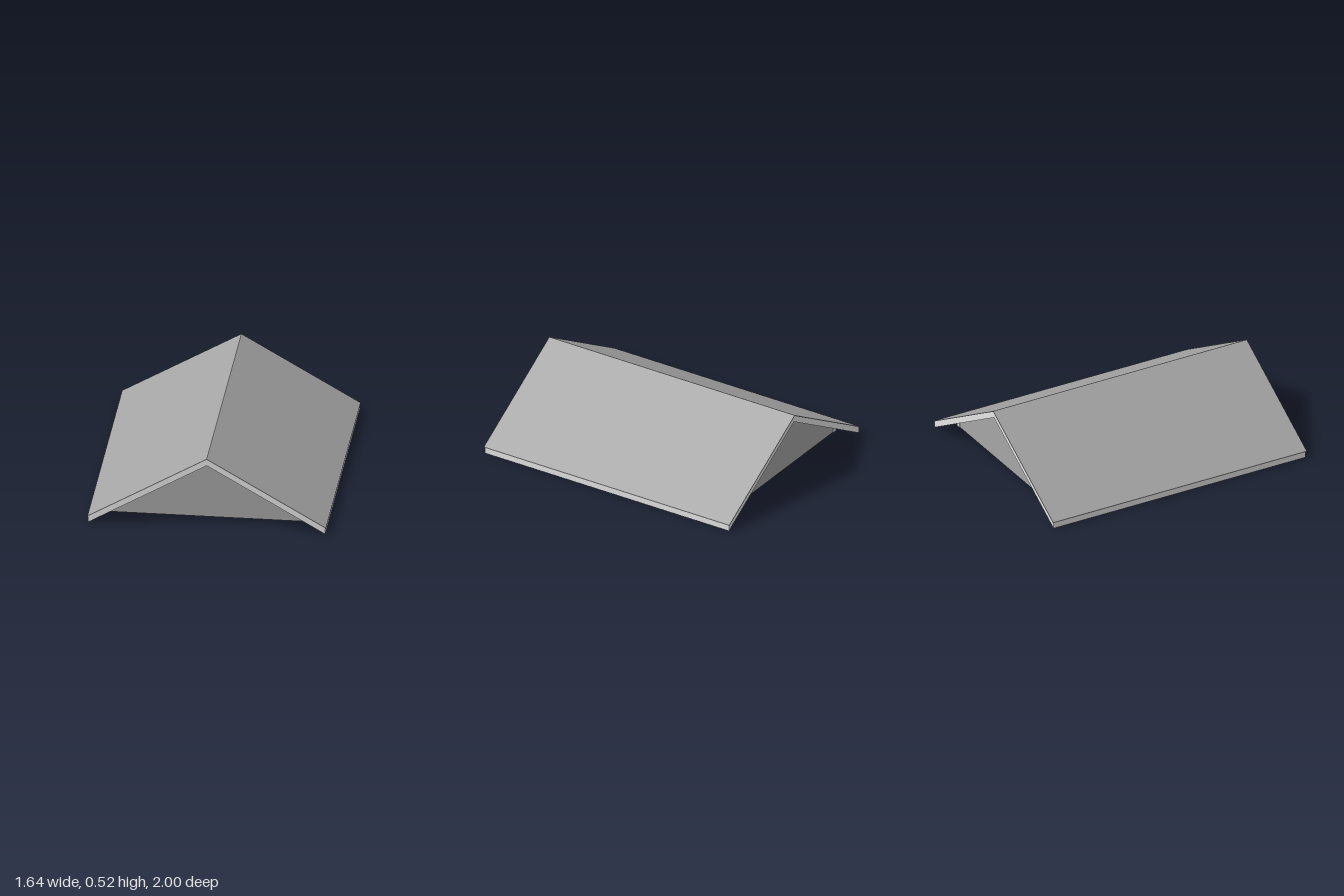
import * as THREE from 'three';

const material = (name, color) => {
  const m = new THREE.MeshStandardMaterial({ color });
  m.name = name;
  return m;
};

// Extrudes an XY outline from z0 to z1
function extrude(points, z0, z1) {
  const shape = new THREE.Shape(points.map(([x, y]) => new THREE.Vector2(x, y)));
  const geometry = new THREE.ExtrudeGeometry(shape, { depth: z1 - z0, bevelEnabled: false });
  return geometry.translate(0, 0, z0);
}

// Inverted V outline of given vertical thickness
const chevron = (halfWidth, eaveTop, ridgeTop, thickness) => [
  [-halfWidth, eaveTop - thickness], [0, ridgeTop - thickness], [halfWidth, eaveTop - thickness],
  [halfWidth, eaveTop], [0, ridgeTop], [-halfWidth, eaveTop],
];

export function createModel() {
  const trim = material('light trim', 0xe6e6e6);
  const siding = material('grey siding', 0xa6a6a6);
  const roofing = material('dark roofing', 0xa4a4a4);
  const model = new THREE.Group();
  model.name = 'gableRoof';

  const add = (name, geometry, mat) => {
    const mesh = new THREE.Mesh(geometry, mat);
    mesh.name = name;
    model.add(mesh);
  };
  const box = (name, mat, x0, x1, y0, y1, z0, z1) => add(name,
    new THREE.BoxGeometry(x1 - x0, y1 - y0, z1 - z0)
      .translate((x0 + x1) / 2, (y0 + y1) / 2, (z0 + z1) / 2), mat);

  // Roof slab with fascia and soffit, covered by a thin sheet
  add('roofSlab', extrude(chevron(0.815, 0.047, 0.519, 0.047), -0.994, 0.994), trim);
  add('roofCovering', extrude(chevron(0.82, 0.049, 0.524, 0.005), -1, 1), roofing);

  // Gable walls, light inside and clad outside
  const base = 0.027;
  const gable = [[-0.685, base], [0.685, base], [0.685, 0.08], [0, 0.478], [-0.685, 0.08]];
  add('frontGableWall', extrude(gable, 0.842, 0.86), trim);
  add('backGableWall', extrude(gable, -0.86, -0.842), trim);
  add('frontGableSiding', extrude(gable, 0.86, 0.866), siding);
  add('backGableSiding', extrude(gable, -0.866, -0.86), siding);

  // Sloped ceiling under the slab, running down to the foot of the walls
  add('innerCeiling', extrude(chevron(0.686, 0.078, 0.478, 0.044), -0.842, 0.842), trim);

  // Low side walls and corner posts
  for (const s of [-1, 1]) {
    const side = s > 0 ? 'left' : 'right';
    const span = (a, b) => (s > 0 ? [a, b] : [-b, -a]);
    box(side + 'SideWall', trim, ...span(0.685, 0.704), base, 0.08, -0.842, 0.842);
    box(side + 'SideSiding', siding, ...span(0.704, 0.71), base, 0.08, -0.842, 0.842);
    box(side + 'FrontCornerPost', trim, ...span(0.685, 0.715), base, 0.085, 0.842, 0.872);
    box(side + 'BackCornerPost', trim, ...span(0.685, 0.715), base, 0.085, -0.872, -0.842);
  }
  return model;
}
